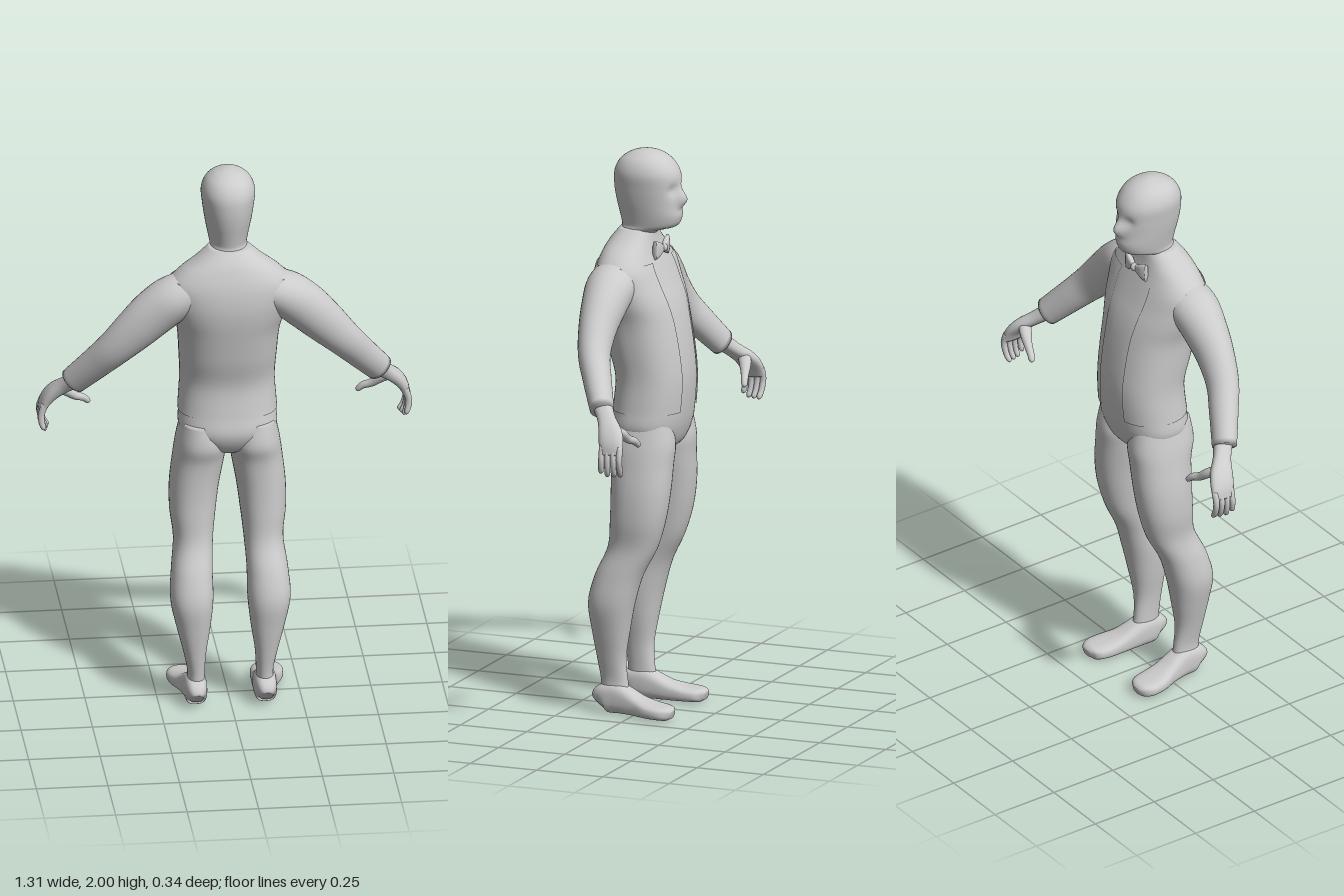
import * as THREE from 'three';

const mat = new THREE.MeshStandardMaterial({ color: 0xcccccc });
const thin = new THREE.MeshStandardMaterial({ color: 0xcccccc, side: THREE.DoubleSide });

// Smoothly subdivide a table of cross-sections
function refine(rows, n = 5) {
  const out = [];
  for (let i = 0; i < rows.length - 1; i++) {
    const [a, b, c, d] = [-1, 0, 1, 2].map(k => rows[Math.min(Math.max(i + k, 0), rows.length - 1)]);
    for (let s = 0; s < n; s++) {
      const t = s / n;
      out.push(b.map((v, k) => v + 0.5 * t * (c[k] - a[k] + t * (2 * a[k] - 5 * v + 4 * c[k] - d[k]
        + t * (3 * v - a[k] - 3 * c[k] + d[k])))));
    }
  }
  out.push(rows[rows.length - 1]);
  return out;
}

// Rounded cross-section coordinate; a larger power is squarer
const sup = (v, p) => Math.sign(v) * Math.pow(Math.abs(v), 2 / p);

// Skin a list of rings; closed skins get capped and face outwards
function skin(rings, closed = true) {
  const m = rings[0].length, pos = [], idx = [];
  rings.forEach(r => r.forEach(p => pos.push(p.x, p.y, p.z)));
  for (let i = 0; i < rings.length - 1; i++) {
    for (let j = 0; j < (closed ? m : m - 1); j++) {
      const a = i * m + j, b = i * m + (j + 1) % m;
      idx.push(a, a + m, b, b, a + m, b + m);
    }
  }
  if (closed) {
    for (const i of [0, rings.length - 1]) {
      const c = new THREE.Vector3();
      rings[i].forEach(p => c.addScaledVector(p, 1 / m));
      const k = pos.length / 3;
      pos.push(c.x, c.y, c.z);
      for (let j = 0; j < m; j++) {
        const a = i * m + j, b = i * m + (j + 1) % m;
        if (i === 0) idx.push(k, a, b); else idx.push(k, b, a);
      }
    }
    let vol = 0;
    const v = k => new THREE.Vector3().fromArray(pos, k * 3);
    for (let i = 0; i < idx.length; i += 3) vol += v(idx[i]).dot(v(idx[i + 1]).cross(v(idx[i + 2])));
    if (vol < 0) idx.reverse();
  }
  const g = new THREE.BufferGeometry();
  g.setAttribute('position', new THREE.Float32BufferAttribute(pos, 3));
  g.setIndex(idx);
  g.computeVertexNormals();
  return g;
}

// Horizontal ring from [y, xMin, xMax, zMin, zMax]
function levelRing([y, x0, x1, z0, z1], p, seg, gap = 0, grow = 0) {
  const count = gap ? seg + 1 : seg;
  return Array.from({ length: count }, (_, j) => {
    const a = -Math.PI / 2 + gap + j / seg * 2 * (Math.PI - gap);
    return new THREE.Vector3((x0 + x1) / 2 + ((x1 - x0) / 2 + grow) * sup(Math.cos(a), p), y,
      (z0 + z1) / 2 + ((z1 - z0) / 2 + grow) * sup(Math.sin(a), p));
  });
}
const column = (rows, p = 2.2, seg = 40) => skin(refine(rows).map(r => levelRing(r, p, seg)));

// Tube through [x, y, z, radius along ref, radius across]
function limb(rows, ref, p = 2, seg = 24, n = 5) {
  const f = refine(rows, n), at = i => new THREE.Vector3(...f[Math.min(Math.max(i, 0), f.length - 1)].slice(0, 3));
  return skin(f.map((r, i) => {
    const t = at(i + 1).sub(at(i - 1)).normalize();
    const u = ref.clone().addScaledVector(t, -ref.dot(t)).normalize();
    const v = t.clone().cross(u);
    return Array.from({ length: seg }, (_, j) => {
      const a = j / seg * Math.PI * 2;
      return at(i).addScaledVector(u, r[3] * sup(Math.cos(a), p)).addScaledVector(v, r[4] * sup(Math.sin(a), p));
    });
  }));
}

export function createModel() {
  const model = new THREE.Group();
  const X = new THREE.Vector3(1, 0, 0), Z = new THREE.Vector3(0, 0, 1);
  const add = (name, geo, material = mat) => {
    const mesh = new THREE.Mesh(geo, material);
    mesh.name = name;
    model.add(mesh);
    return mesh;
  };
  const sym = rows => rows.map(([y, r, z0, z1]) => [y, -r, r, z0, z1]);

  // Torso, from crotch to neck
  const torso = sym([
    [0.93, 0.05, -0.07, 0.05], [0.96, 0.12, -0.115, 0.09], [1.02, 0.17, -0.14, 0.116],
    [1.1, 0.168, -0.153, 0.106], [1.2, 0.162, -0.158, 0.1], [1.3, 0.167, -0.148, 0.126],
    [1.4, 0.175, -0.13, 0.148], [1.47, 0.195, -0.11, 0.162], [1.53, 0.21, -0.085, 0.167],
    [1.59, 0.215, -0.06, 0.162], [1.64, 0.175, -0.04, 0.148], [1.68, 0.12, -0.03, 0.13],
    [1.72, 0.07, -0.025, 0.1]]);
  add('torso', column(torso, 2.3, 48));

  // Thin jacket, open at the front
  const jacketRows = refine(torso).filter(r => r[0] > 1.07 && r[0] < 1.62);
  add('jacket', skin(jacketRows.map(r => levelRing(r, 2.3, 48, 0.35, 0.004)), false), thin);

  // Head and neck, with nose and eye sockets pushed into the face
  const head = column(sym([
    [1.6, 0.075, -0.02, 0.13], [1.68, 0.066, -0.025, 0.113], [1.708, 0.064, -0.032, 0.1],
    [1.722, 0.065, -0.075, 0.097], [1.735, 0.067, -0.108, 0.097], [1.77, 0.074, -0.123, 0.105],
    [1.82, 0.083, -0.12, 0.117], [1.87, 0.09, -0.119, 0.124], [1.92, 0.094, -0.113, 0.122],
    [1.96, 0.08, -0.088, 0.102], [1.985, 0.053, -0.055, 0.068], [1.997, 0.022, -0.02, 0.032],
    [2, 0.003, 0, 0.008]]), 2.1, 64);
  const hp = head.attributes.position;
  const bump = (d, w) => Math.exp(-((d / w) ** 2));
  for (let i = 0; i < hp.count; i++) {
    const x = hp.getX(i), y = hp.getY(i), z = hp.getZ(i);
    if (z > -0.05) continue;
    const nose = 0.026 * bump(x, 0.018) * bump(y - 1.832, 0.028);
    const eyes = 0.012 * bump(Math.abs(x) - 0.035, 0.02) * bump(y - 1.865, 0.02);
    const mouth = 0.005 * bump(x, 0.03) * bump(y - 1.795, 0.01);
    hp.setZ(i, z - nose + eyes + mouth);
  }
  head.computeVertexNormals();
  add('head', head);

  // Bow tie
  add('bowTie', limb([[-0.058, 1.65, -0.046, 0.008, 0.034], [-0.035, 1.65, -0.05, 0.012, 0.027],
    [0, 1.65, -0.054, 0.008, 0.011], [0.035, 1.65, -0.05, 0.012, 0.027],
    [0.058, 1.65, -0.046, 0.008, 0.034]], Z, 3));
  const knot = add('bowTieKnot', new THREE.SphereGeometry(0.015, 16, 12));
  knot.position.set(0, 1.65, -0.055);

  for (const [side, s] of [['left', 1], ['right', -1]]) {
    const mirror = rows => rows.map(r => [s * r[0], ...r.slice(1)]);

    // Leg
    const leg = [
      [0.06, 0.09, 0.155, 0.02, 0.125], [0.12, 0.09, 0.15, 0.03, 0.128], [0.2, 0.085, 0.165, 0.035, 0.14],
      [0.3, 0.07, 0.19, 0.02, 0.155], [0.4, 0.06, 0.21, 0, 0.165], [0.5, 0.06, 0.204, -0.03, 0.14],
      [0.6, 0.054, 0.192, -0.08, 0.097], [0.7, 0.043, 0.203, -0.11, 0.088], [0.8, 0.03, 0.203, -0.125, 0.087],
      [0.9, 0.012, 0.192, -0.13, 0.094], [0.97, 0.004, 0.182, -0.134, 0.112], [1.05, 0.02, 0.165, -0.12, 0.1]];
    add(side + 'Leg', column(leg.map(([y, a, b, z0, z1]) => [y, s * a, s * b, z0, z1])));

    // Foot, wider towards the toes
    add(side + 'Foot', limb(mirror([
      [0.122, 0.035, 0.132, 0.022, 0.035], [0.122, 0.05, 0.115, 0.037, 0.05], [0.122, 0.055, 0.07, 0.041, 0.055],
      [0.125, 0.047, 0.03, 0.043, 0.047], [0.132, 0.035, -0.02, 0.048, 0.035], [0.142, 0.028, -0.07, 0.057, 0.028],
      [0.148, 0.025, -0.115, 0.056, 0.025], [0.15, 0.023, -0.14, 0.042, 0.023],
      [0.15, 0.02, -0.153, 0.02, 0.014]]), X, 2.8, 32));

    // Sleeved arm
    add(side + 'Arm', limb(mirror([
      [0.1, 1.575, 0.06, 0.08, 0.06], [0.19, 1.54, 0.062, 0.088, 0.08], [0.26, 1.488, 0.06, 0.078, 0.083],
      [0.33, 1.42, 0.055, 0.065, 0.076], [0.4, 1.345, 0.037, 0.056, 0.064], [0.46, 1.275, 0, 0.05, 0.057],
      [0.535, 1.188, -0.05, 0.042, 0.05]]), Z, 2, 32));

    // Palm
    add(side + 'Palm', limb(mirror([
      [0.52, 1.2, -0.045, 0.034, 0.03], [0.56, 1.162, -0.078, 0.032, 0.025], [0.6, 1.125, -0.108, 0.042, 0.023],
      [0.625, 1.09, -0.122, 0.044, 0.019], [0.637, 1.055, -0.125, 0.041, 0.013]]), Z, 2.4));

    // Four curled fingers
    for (let i = 0; i < 4; i++) {
      const z = -0.157 + i * 0.022, x = 0.003 * i, end = i === 3 ? 0.012 : 0;
      add(side + 'Finger' + (i + 1), limb(mirror([
        [0.63, 1.085, z, 0.011, 0.012], [0.642, 1.045, z - 0.002, 0.011, 0.012],
        [0.632 + x, 1.005 + end, z, 0.01, 0.011], [0.617 + 2 * x, 0.984 + end, z + 0.003, 0.009, 0.009],
        [0.612 + 2 * x, 0.978 + end, z + 0.004, 0.004, 0.004]]), Z, 2, 12, 3));
    }

    // Thumb
    add(side + 'Thumb', limb(mirror([
      [0.595, 1.14, -0.105, 0.022, 0.018], [0.555, 1.118, -0.128, 0.022, 0.018], [0.52, 1.09, -0.142, 0.015, 0.015],
      [0.49, 1.077, -0.153, 0.013, 0.013], [0.472, 1.06, -0.16, 0.01, 0.01],
      [0.467, 1.055, -0.162, 0.004, 0.004]]), Z, 2, 14, 3));
  }
  return model;
}
